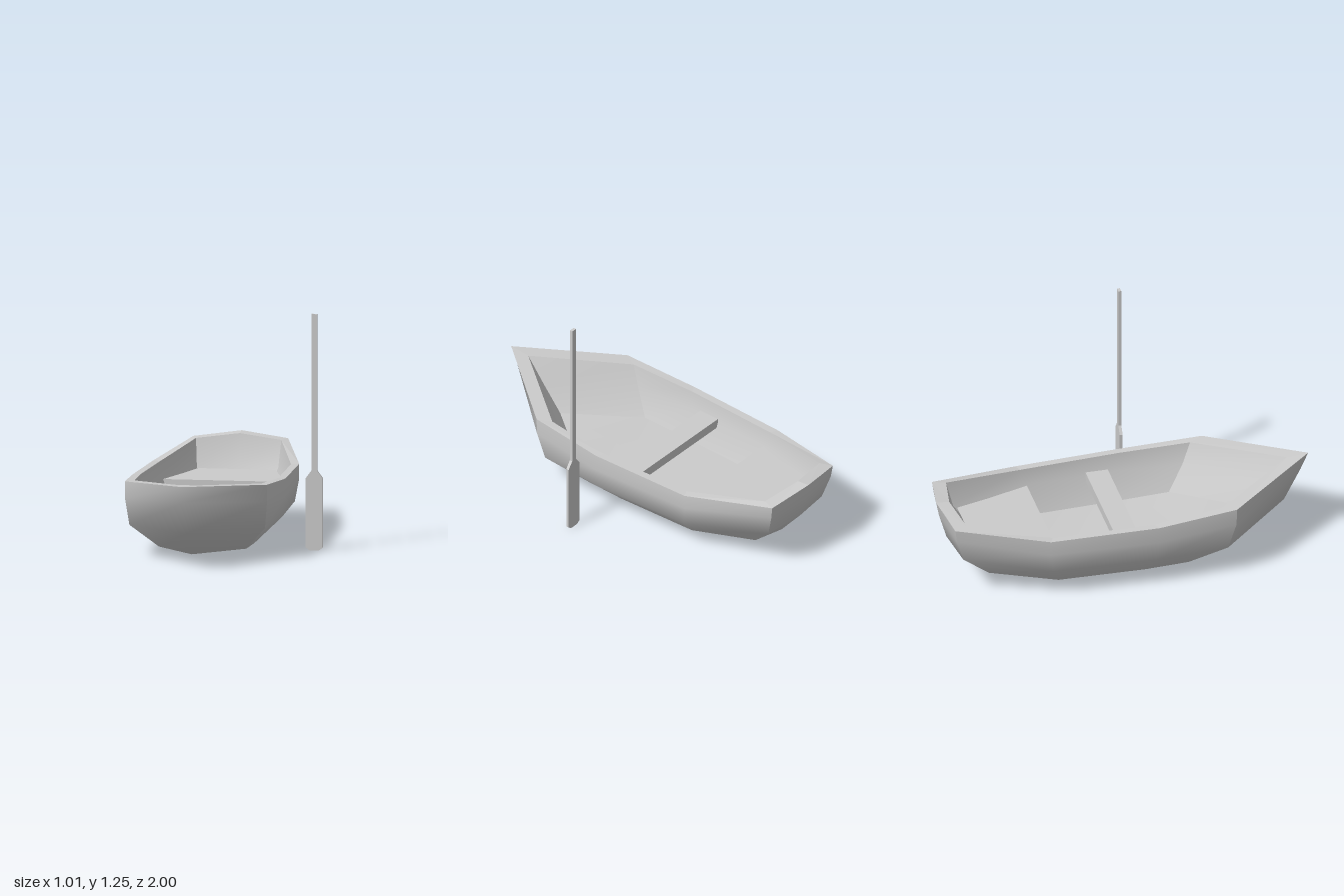
import * as THREE from 'three';

const CENTRE = -0.1; // the boat sits slightly to the right to leave room for the oar
const material = new THREE.MeshStandardMaterial({ color: 0xcccccc });

// Half outline [x, y, z] from front to back, mirrored into a closed ring.
function ring(half) {
  const mirrored = half.slice(1, -1).reverse().map(([x, y, z]) => [-x, y, z]);
  return [...half, ...mirrored];
}

// Collapse a half outline onto the centre line, optionally at other heights.
const centreLine = (half, heights) => half.map(([, y, z], i) => [0, heights ? heights[i] : y, z]);

// Skin a stack of rings, over the ring positions first..last.
function skin(rings, first, last, flat) {
  const positions = [], index = [], n = rings[0].length, cols = last - first + 1;
  for (const r of rings) {
    for (let c = first; c <= last; c++) positions.push(...r[(c + n) % n]);
  }
  for (let r = 0; r < rings.length - 1; r++) {
    for (let c = 0; c < cols - 1; c++) {
      const a = r * cols + c, b = a + cols;
      index.push(a, b, a + 1, a + 1, b, b + 1);
    }
  }
  let geometry = new THREE.BufferGeometry();
  geometry.setAttribute('position', new THREE.Float32BufferAttribute(positions, 3));
  geometry.setIndex(index);
  if (flat) geometry = geometry.toNonIndexed();
  geometry.computeVertexNormals();
  return geometry;
}

function add(parent, name, geometry) {
  const mesh = new THREE.Mesh(geometry, material);
  mesh.name = name;
  parent.add(mesh);
  return mesh;
}

// Smooth panels with sharp edges where they meet
function addPanels(boat, rings, panels) {
  for (const [name, [first, last]] of Object.entries(panels)) {
    add(boat, name, skin(rings, first, last));
  }
}

function addHull(boat) {
  // Outer levels, each running from stem to transom centre
  const gunwale = [[0, 0.45, 1], [0.375, 0.4, 0.523], [0.405, 0.37, 0.1],
    [0.385, 0.36, -0.48], [0.25, 0.42, -0.96], [0, 0.45, -1]];
  const upper = [[0, 0.36, 0.96], [0.375, 0.31, 0.52], [0.405, 0.28, 0.1],
    [0.385, 0.28, -0.48], [0.245, 0.35, -0.95], [0, 0.37, -0.985]];
  const lower = [[0, 0.185, 0.87], [0.358, 0.165, 0.48], [0.385, 0.165, 0.09],
    [0.365, 0.165, -0.46], [0.22, 0.22, -0.91], [0, 0.235, -0.945]];
  const bottom = [[0, 0.045, 0.66], [0.23, 0.026, 0.3], [0.235, 0.02, 0.07],
    [0.225, 0.02, -0.4], [0.13, 0.06, -0.75], [0, 0.09, -0.82]];
  const keel = centreLine(bottom, [0.045, 0.022, 0.005, 0.005, 0.06, 0.09]);
  // Inner levels
  const innerRim = [[0, 0.44, 0.885], [0.335, 0.395, 0.45], [0.365, 0.37, 0.08],
    [0.345, 0.36, -0.46], [0.225, 0.42, -0.89], [0, 0.445, -0.93]];
  const innerWaist = [[0, 0.305, 0.78], [0.318, 0.28, 0.405], [0.352, 0.27, 0.07],
    [0.332, 0.27, -0.45], [0.215, 0.28, -0.855], [0, 0.29, -0.89]];
  const floor = [[0, 0.17, 0.67], [0.27, 0.15, 0.32], [0.29, 0.125, 0.05],
    [0.275, 0.12, -0.43], [0.175, 0.15, -0.76], [0, 0.16, -0.8]];

  const planks = [gunwale, upper, lower, bottom].map(ring);
  addPanels(boat, planks, {
    bowPlanking: [-1, 1], leftPlanking: [1, 4], transom: [4, 6], rightPlanking: [6, 9],
  });
  const lining = [floor, innerWaist, innerRim].map(ring);
  addPanels(boat, lining, {
    leftBowLining: [0, 1], leftLining: [1, 4], transomLining: [4, 6],
    rightLining: [6, 9], rightBowLining: [9, 10],
  });
  add(boat, 'hullBottom', skin([ring(bottom), ring(keel)], 0, 10));
  add(boat, 'gunwale', skin([ring(innerRim), ring(gunwale)], 0, 10, true));
  add(boat, 'floor', skin([ring(centreLine(floor)), ring(floor)], 0, 10));
}

function addSeats(boat) {
  const thwart = add(boat, 'middleSeat', new THREE.BoxGeometry(0.69, 0.05, 0.12));
  thwart.position.set(0, 0.265, -0.05);

  // Stern seat: a block tapering down to the floor
  const top = [[0, 0.27, -0.43], [0.325, 0.27, -0.43], [0.25, 0.27, -0.67],
    [0.205, 0.27, -0.835], [0, 0.27, -0.835]];
  const base = [[0, 0.11, -0.43], [0.27, 0.11, -0.43], [0.2, 0.11, -0.64],
    [0.165, 0.11, -0.74], [0, 0.11, -0.74]];
  const rings = [ring(centreLine(top)), ring(top), ring(base)];
  add(boat, 'sternSeat', skin(rings, 0, 8, true));
}

function addOar(group) {
  // Half outline of the upright oar, blade down
  const half = [[0.025, 0], [0.045, 0.015], [0.045, 0.38], [0.015, 0.42], [0.015, 1.245]];
  const outline = [...half, ...half.slice().reverse().map(([x, y]) => [-x, y])];
  const shape = new THREE.Shape(outline.map(([x, y]) => new THREE.Vector2(x, y)));
  const geometry = new THREE.ExtrudeGeometry(shape, { depth: 0.016, bevelEnabled: false });
  add(group, 'oar', geometry).position.set(0.462, 0, 0.118);
}

export function createModel() {
  const group = new THREE.Group();
  group.name = 'rowingBoatWithOar';
  const boat = new THREE.Group();
  boat.name = 'boat';
  boat.position.x = CENTRE;
  group.add(boat);
  addHull(boat);
  addSeats(boat);
  addOar(group);
  return group;
}
